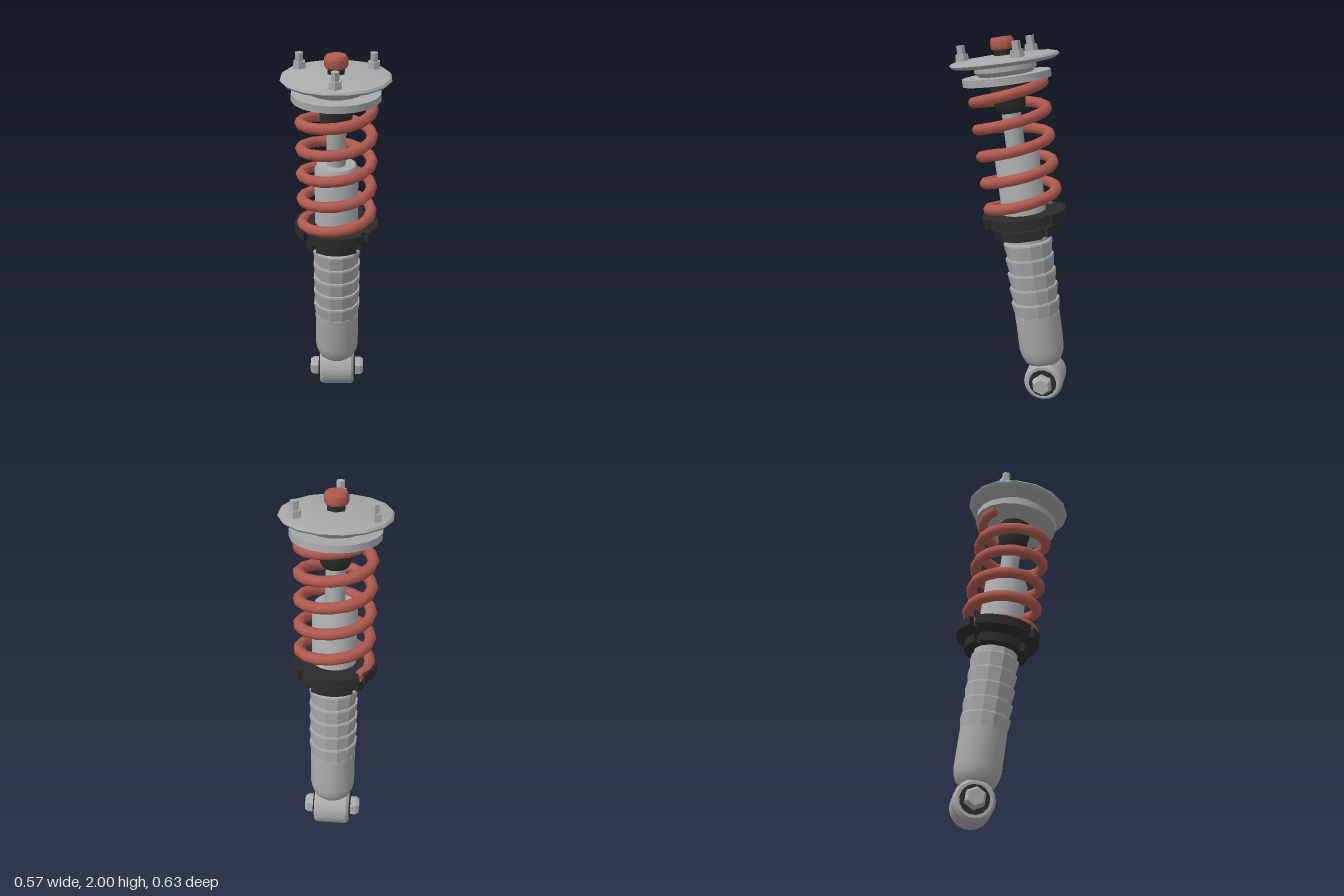
import * as THREE from 'three';
import { toCreasedNormals } from 'three/addons/utils/BufferGeometryUtils.js';

const material = (name, color) => Object.assign(new THREE.MeshStandardMaterial({ color }), { name });

export function createModel() {
  const steel = material('steel grey', 0xa8aaab);
  const red = material('spring red', 0xb05a4f);
  const black = material('matte black', 0x2b2b2c);

  // The whole unit leans forward about the centre of the lower eye
  const model = new THREE.Group();
  model.name = 'coiloverShock';
  const strut = new THREE.Group();
  strut.name = 'strut';
  strut.position.set(0, 0.108, -0.205);
  strut.rotation.x = 0.133;
  model.add(strut);

  const add = (name, geometry, mat, parent = strut, crease = 0.6) => {
    const mesh = new THREE.Mesh(toCreasedNormals(geometry, crease), mat);
    mesh.name = name;
    parent.add(mesh);
    return mesh;
  };
  // Turned part: profile of [radius, height], bottom to top, half a side turned
  const turned = (profile, sides) =>
    new THREE.LatheGeometry(profile.map(([r, y]) => new THREE.Vector2(r, y)), sides).rotateY(Math.PI / sides);

  // Lower mounting eye, bushing and bolt, all along x
  const across = (g) => g.rotateZ(-Math.PI / 2);
  add('lowerEye', across(turned(
    [[0, -0.1], [0.093, -0.1], [0.108, -0.085], [0.108, 0.085], [0.093, 0.1], [0, 0.1]], 20)), steel);
  add('eyeBushing', across(new THREE.CylinderGeometry(0.077, 0.077, 0.216, 14)), black);
  for (const side of [-1, 1]) {
    const bolt = add(side > 0 ? 'leftBolt' : 'rightBolt', across(turned(
      [[0, 0.1], [0.057, 0.1], [0.057, 0.14], [0.044, 0.157], [0, 0.157]], 6)), steel, strut, 0.3);
    if (side < 0) bolt.rotation.y = Math.PI;
  }

  // Damper body with a rounded foot, and the smooth upper tube
  add('damperBody', turned(
    [[0, 0.08], [0.075, 0.08], [0.103, 0.105], [0.118, 0.14], [0.125, 0.18], [0.125, 0.385], [0, 0.385]], 16), steel);
  add('upperTube', turned(
    [[0, 0.38], [0.118, 0.38], [0.12, 1.28], [0.105, 1.31], [0, 1.31]], 16), steel);

  // Coarse thread: five tiers that flare upward
  const thread = [];
  for (let i = 0; i < 5; i++) {
    const y = 0.38 + i * 0.085;
    thread.push([0.123, y], [0.135, y + 0.075], [0.133, y + 0.085]);
  }
  thread.push([0.122, 0.81], [0.122, 0.85]);
  add('threadedSleeve', turned(thread, 12), steel, strut, 0.2);

  // Adjuster rings with four spanner notches
  const notchedRing = (name, radius, y, thickness) => {
    const shape = new THREE.Shape();
    const half = 0.019 / radius;
    const points = [];
    const polar = (r, a) => points.push(new THREE.Vector2(r * Math.cos(a), r * Math.sin(a)));
    for (let k = 0; k < 4; k++) {
      const notch = Math.PI / 4 + k * Math.PI / 2;
      polar(radius - 0.028, notch - half);
      polar(radius - 0.028, notch + half);
      for (let i = 0; i <= 4; i++) polar(radius, notch + half + (i / 4) * (Math.PI / 2 - 2 * half));
    }
    shape.setFromPoints(points);
    const hole = new THREE.Path();
    hole.absarc(0, 0, 0.112, 0, Math.PI * 2, true);
    shape.holes.push(hole);
    const g = new THREE.ExtrudeGeometry(shape, { depth: thickness, bevelEnabled: false, curveSegments: 8 });
    add(name, g.rotateX(-Math.PI / 2).translate(0, y - thickness / 2, 0), black);
  };
  notchedRing('lockRing', 0.175, 0.866, 0.05);
  notchedRing('lowerSpringSeat', 0.23, 0.943, 0.052);

  // Piston rod and tapered bump stop
  add('pistonRod', new THREE.CylinderGeometry(0.052, 0.052, 0.5, 12).translate(0, 1.5, 0), steel);
  add('bumpStop', turned(
    [[0, 1.51], [0.066, 1.51], [0.08, 1.535], [0.09, 1.6], [0.09, 1.69], [0, 1.69]], 12), black);

  // Coil spring: five turns
  class Helix extends THREE.Curve {
    getPoint(t, target = new THREE.Vector3()) {
      const a = -0.75 * Math.PI + t * 10 * Math.PI;
      return target.set(0.19 * Math.sin(a), 1.0 + 0.145 * a / (2 * Math.PI), 0.19 * Math.cos(a));
    }
  }
  const helix = new Helix();
  add('coilSpring', new THREE.TubeGeometry(helix, 80, 0.03, 8, false), red, strut, 1);
  for (const t of [0, 1]) {
    const end = add('springEnd', new THREE.CircleGeometry(0.03, 8), red);
    const p = helix.getPoint(t);
    const tangent = helix.getTangent(t).multiplyScalar(t ? 1 : -1);
    end.position.copy(p);
    end.quaternion.setFromUnitVectors(new THREE.Vector3(0, 0, 1), tangent);
  }

  // Upper seat, hub and domed top plate
  add('upperSpringSeat', turned(
    [[0, 1.674], [0.235, 1.674], [0.235, 1.712], [0, 1.712]], 20), steel);
  add('mountHub', turned(
    [[0, 1.71], [0.14, 1.71], [0.165, 1.735], [0.165, 1.78], [0, 1.78]], 16), steel);
  add('topPlate', turned(
    [[0, 1.768], [0.265, 1.768], [0.282, 1.775], [0.29, 1.786], [0.282, 1.797], [0.26, 1.803], [0, 1.812]], 16), steel);

  // Three mounting studs, each with a nut
  for (let i = 0; i < 3; i++) {
    const stud = new THREE.Group();
    stud.name = 'mountingStud' + (i + 1);
    const a = i * Math.PI * 2 / 3;
    stud.position.set(0.224 * Math.sin(a), 1.795, 0.224 * Math.cos(a));
    stud.rotation.y = a;
    strut.add(stud);
    add('studNut', turned([[0, 0], [0.038, 0], [0.034, 0.045], [0, 0.045]], 6).rotateY(Math.PI / 6), steel, stud, 0.3);
    add('studShank', new THREE.CylinderGeometry(0.023, 0.023, 0.06, 6).translate(0, 0.06, 0), steel, stud, 0.3);
  }

  // Centre nut and adjuster knob
  add('centreNut', new THREE.CylinderGeometry(0.05, 0.05, 0.06, 6).translate(0, 1.825, 0), black);
  add('adjusterKnob', turned(
    [[0, 1.84], [0.056, 1.84], [0.062, 1.85], [0.062, 1.888], [0.053, 1.903], [0, 1.903]], 10), red, strut, 0.7);

  return model;
}
